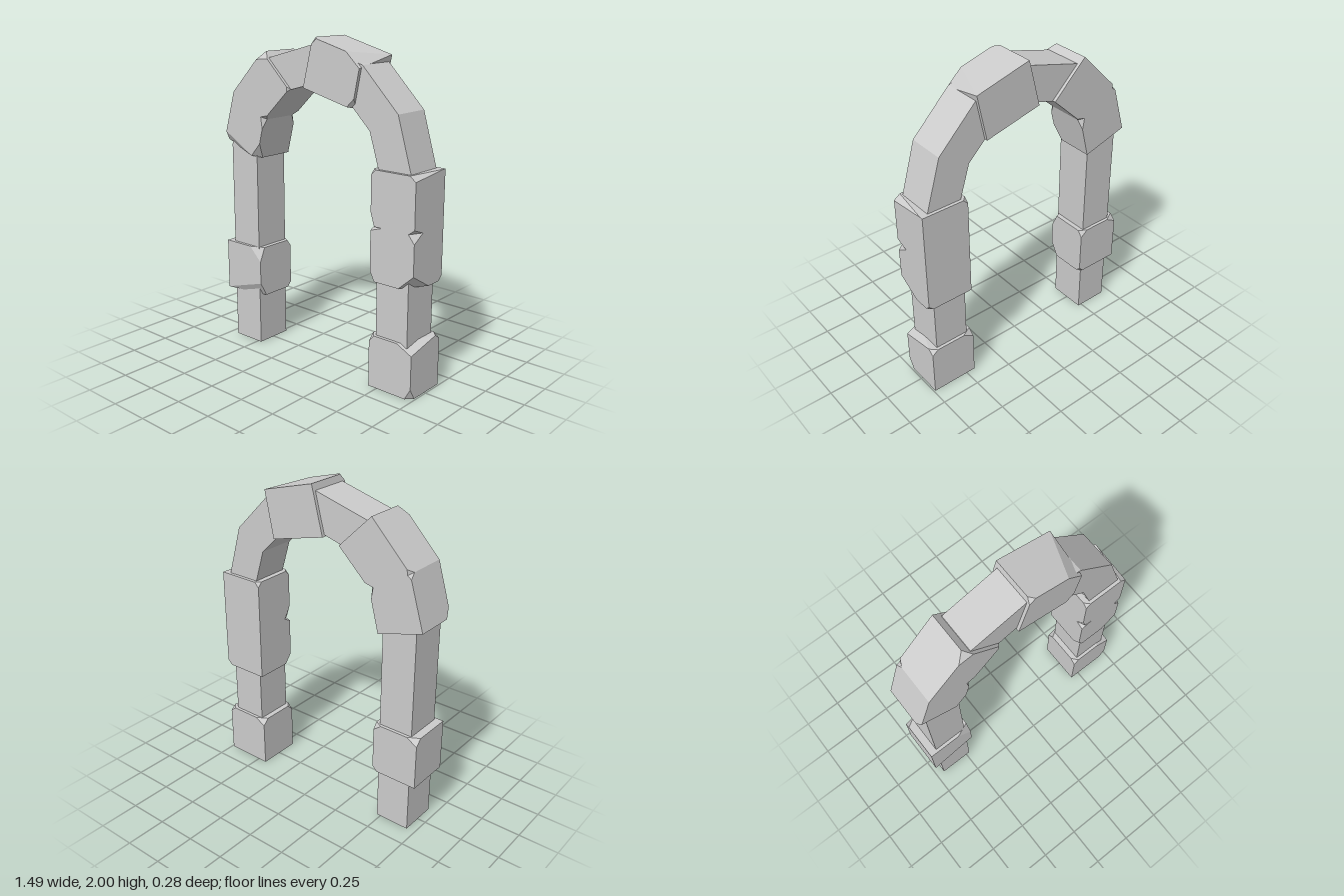
import * as THREE from 'three';
import { ConvexGeometry } from 'three/addons/geometries/ConvexGeometry.js';

const stone = new THREE.MeshStandardMaterial({ color: 0xcccccc, flatShading: true, side: THREE.DoubleSide });
const HALF = 0.14; // half depth of the large stones

// Hollow inner arch: four-cornered cross-sections [outer x, outer y, inner x, inner y] joined in a loop
function archCore() {
  const half = [[0.695, 0, 0.475, 0], [0.695, 1.3, 0.475, 1.3], [0.6, 1.62, 0.41, 1.51], [0.355, 1.865, 0.245, 1.67]];
  const mirrored = half.map(([a, b, c, d]) => [-a, b, -c, d]).reverse();
  const sections = [...half, [0, 1.96, 0, 1.737], ...mirrored];
  const rings = sections.map(([ox, oy, ix, iy]) =>
    [[ox, oy, 0.12], [ox, oy, -0.12], [ix, iy, -0.12], [ix, iy, 0.12]]);
  const pos = [];
  for (let i = 0; i < rings.length - 1; i++) {
    for (let j = 0; j < 4; j++) {
      const k = (j + 1) % 4;
      const a = rings[i][j], b = rings[i][k], c = rings[i + 1][k], d = rings[i + 1][j];
      pos.push(...a, ...b, ...c, ...a, ...c, ...d);
    }
  }
  const geo = new THREE.BufferGeometry();
  geo.setAttribute('position', new THREE.Float32BufferAttribute(pos, 3));
  geo.computeVertexNormals();
  return geo;
}

// Stone with a four-cornered front (counter-clockwise from lower left) and chipped corners.
// chip: [corner, 1 front / -1 back, length to previous corner, length to next corner, depth]
function chippedStone(quad, chips = []) {
  const points = [];
  const toward = (a, b, len) => a.clone().lerp(b, Math.min(1, len / a.distanceTo(b)));
  for (const side of [1, -1]) {
    const ring = quad.map(([x, y]) => new THREE.Vector3(x, y, side * HALF));
    ring.forEach((p, i) => {
      const chip = chips.find((c) => c[0] === i && c[1] === side);
      if (!chip) return points.push(p);
      const [, , prev, next, depth] = chip;
      points.push(toward(p, ring[(i + 3) % 4], prev), toward(p, ring[(i + 1) % 4], next),
        new THREE.Vector3(p.x, p.y, side * (HALF - depth)));
    });
  }
  return new ConvexGeometry(points);
}

// Removes the faces lying on the ground
function openBottom(geo) {
  const p = geo.attributes.position, kept = [];
  for (let i = 0; i < p.count; i += 3) {
    if (Math.max(p.getY(i), p.getY(i + 1), p.getY(i + 2)) < 0.001) continue;
    for (let j = i; j < i + 3; j++) kept.push(p.getX(j), p.getY(j), p.getZ(j));
  }
  const out = new THREE.BufferGeometry();
  out.setAttribute('position', new THREE.Float32BufferAttribute(kept, 3));
  out.computeVertexNormals();
  return out;
}

const rect = (x0, x1, y0, y1) => [[x0, y0], [x1, y0], [x1, y1], [x0, y1]];

export function createModel() {
  const model = new THREE.Group();
  model.name = 'stoneArch';
  const add = (name, geo, parent = model) => {
    const mesh = new THREE.Mesh(geo, stone);
    mesh.name = name;
    parent.add(mesh);
  };
  const addGroup = (name) => {
    const group = new THREE.Group();
    group.name = name;
    model.add(group);
    return group;
  };

  add('archCore', archCore());

  // Foot of the left pillar
  add('footStone', openBottom(chippedStone(rect(0.44, 0.74, 0, 0.325), [
    [1, 1, 0.04, 0.07, 0.04], [2, 1, 0.05, 0.1, 0.24], [2, -1, 0.03, 0.04, 0.04],
    [3, 1, 0.035, 0.04, 0.04], [3, -1, 0.07, 0.04, 0.04],
  ])));

  // Tall stone of the left pillar, in two halves with notched edges where they meet
  const tall = addGroup('tallStone');
  add('tallStoneLower', chippedStone(rect(0.44, 0.74, 0.655, 0.98), [
    [0, 1, 0.06, 0.03, 0.05], [1, 1, 0.1, 0.09, 0.15], [1, -1, 0.03, 0.03, 0.03],
    [2, 1, 0.05, 0.04, 0.08], [3, 1, 0.08, 0.025, 0.05],
  ]), tall);
  add('tallStoneUpper', chippedStone(rect(0.44, 0.74, 0.98, 1.305), [
    [0, 1, 0.08, 0.025, 0.05], [1, 1, 0.04, 0.03, 0.08],
    [2, 1, 0.03, 0.04, 0.26], [3, 1, 0.03, 0.03, 0.03], [3, -1, 0.03, 0.03, 0.03],
  ]), tall);

  // Stone around the right pillar
  add('pillarStone', chippedStone(rect(-0.745, -0.445, 0.33, 0.655), [
    [1, 1, 0.3, 0.09, 0.05], [1, -1, 0.03, 0.03, 0.03], [2, 1, 0.09, 0.09, 0.04],
    [2, -1, 0.04, 0.05, 0.03], [3, -1, 0.07, 0.04, 0.04],
  ]));

  // Bent stone on the right shoulder, in two halves
  const shoulder = addGroup('shoulderStone');
  add('shoulderStoneLower', chippedStone([[-0.745, 1.325], [-0.455, 1.24], [-0.39, 1.49], [-0.65, 1.64]], [
    [0, 1, 0.06, 0.25, 0.04], [1, 1, 0.05, 0.1, 0.05],
    [2, 1, 0.06, 0.03, 0.03], [2, -1, 0.06, 0.03, 0.03], [3, -1, 0.02, 0.03, 0.04],
  ]), shoulder);
  add('shoulderStoneUpper', chippedStone([[-0.65, 1.64], [-0.39, 1.49], [-0.18, 1.69], [-0.395, 1.9]], [
    [0, -1, 0.03, 0.02, 0.04], [1, 1, 0.03, 0.04, 0.03], [1, -1, 0.03, 0.04, 0.03],
    [2, 1, 0.02, 0.02, 0.02], [3, 1, 0.06, 0.07, 0.04],
  ]), shoulder);

  // Stone at the crown
  add('crownStone', chippedStone([[-0.065, 1.71], [0.3, 1.62], [0.36, 1.905], [0.01, 2]], [
    [1, 1, 0.04, 0.06, 0.04], [2, 1, 0.06, 0.11, 0.28], [3, 1, 0.03, 0.04, 0.03],
  ]));

  return model;
}
